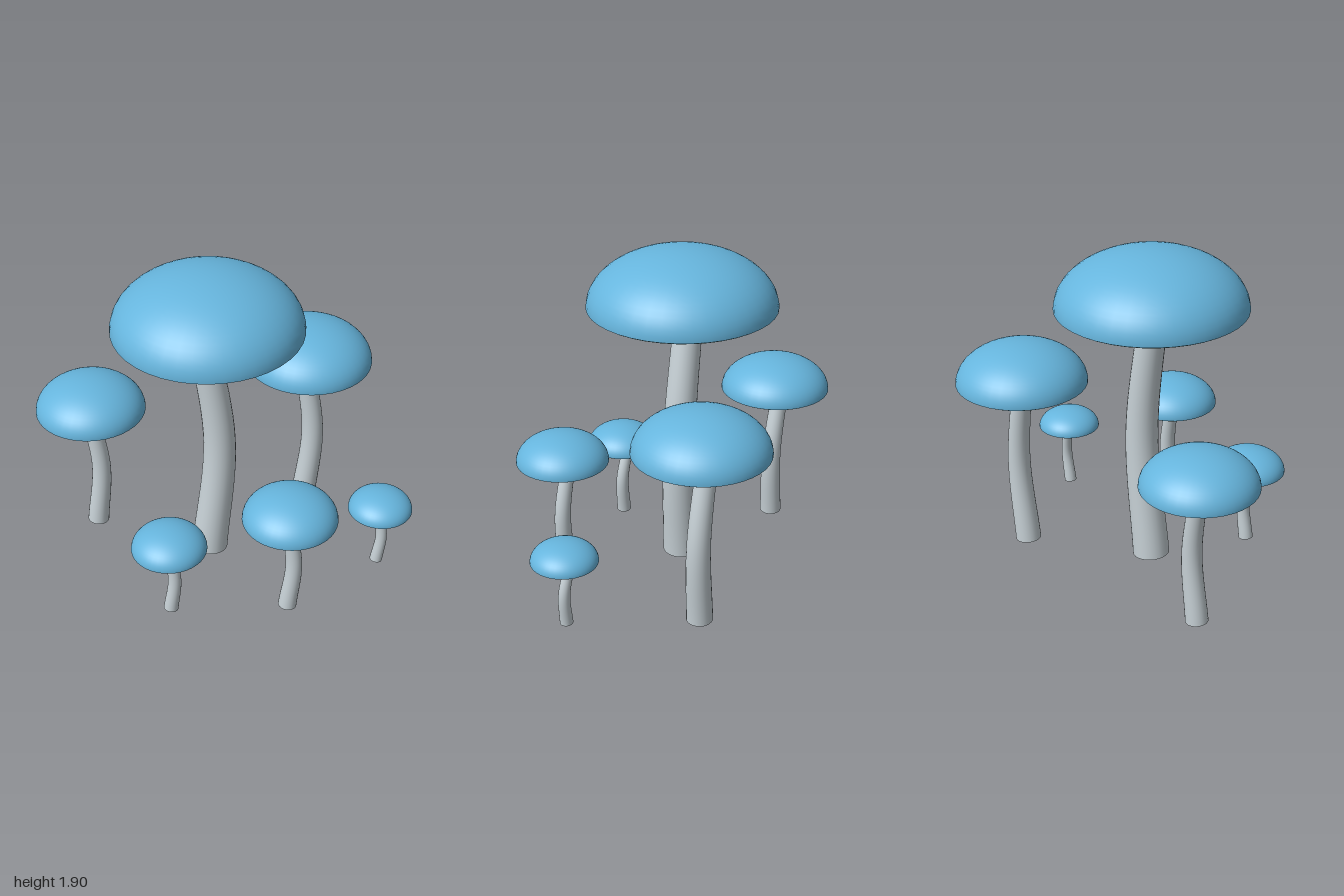
import * as THREE from 'three';

const make = (name, color) => {
  const m = new THREE.MeshStandardMaterial({ color });
  m.name = name;
  return m;
};

// x, z and radius of the cap, then heights of its rim and its top
const MUSHROOMS = [
  ['tallMushroom', -0.096, -0.073, 0.537, 1.563, 1.896],
  ['rightMushroom', 0.614, -0.331, 0.377, 1.042, 1.28],
  ['leftMushroom', -0.678, -0.525, 0.323, 0.85, 1.052],
  ['frontMushroom', 0.162, 0.573, 0.268, 0.655, 0.825],
  ['smallLeftMushroom', -0.483, 0.38, 0.214, 0.463, 0.598],
  ['smallRightMushroom', 0.808, 0.38, 0.188, 0.399, 0.515],
];

// Tapered cylinder bent along a curve, rings kept square to the path
function bentStem(curve, topRadius, baseRadius) {
  const geometry = new THREE.CylinderGeometry(topRadius, baseRadius, 1, 24, 20);
  const pos = geometry.attributes.position;
  const nor = geometry.attributes.normal;
  const basis = new THREE.Matrix4();
  const v = new THREE.Vector3();
  const n = new THREE.Vector3();
  for (let i = 0; i < pos.count; i++) {
    v.fromBufferAttribute(pos, i);
    n.fromBufferAttribute(nor, i);
    const t = THREE.MathUtils.clamp(v.y + 0.5, 0, 1);
    const up = curve.getTangent(t);
    const out = new THREE.Vector3().crossVectors(new THREE.Vector3(1, 0, 0), up).normalize();
    const side = new THREE.Vector3().crossVectors(up, out);
    basis.makeBasis(side, up, out);
    v.y = 0;
    v.applyMatrix4(basis).add(curve.getPoint(t));
    n.applyMatrix4(basis).normalize();
    pos.setXYZ(i, v.x, v.y, v.z);
    nor.setXYZ(i, n.x, n.y, n.z);
  }
  return geometry;
}

export function createModel() {
  const capBlue = make('cap blue', 0x66b5dd);
  const stemGrey = make('stem grey', 0xc6d0d5);
  const gillTeal = make('gill teal', 0x86c4b6);
  gillTeal.side = THREE.DoubleSide;

  const model = new THREE.Group();
  model.name = 'mushroomCluster';

  for (const [name, x, z, R, rim, top] of MUSHROOMS) {
    const mushroom = new THREE.Group();
    mushroom.name = name;
    mushroom.position.set(x, 0, z);
    const add = (part, geometry, material, y = 0) => {
      const mesh = new THREE.Mesh(geometry, material);
      mesh.name = part;
      mesh.position.y = y;
      mushroom.add(mesh);
    };

    // Domed cap
    const lip = 0.015 * R;
    const dome = new THREE.SphereGeometry(R, 40, 16, 0, Math.PI * 2, 0, Math.PI / 2);
    dome.scale(1, (top - rim - lip) / R, 1);
    add('cap', dome, capBlue, rim + lip);

    // Narrow edge and shallow dish under the cap
    const edge = [[R, lip], [0.975 * R, 0]];
    const dish = [[0.975 * R, 0], [0.5 * R, 0.035 * R], [0, 0.06 * R]];
    const lathe = (pts) => new THREE.LatheGeometry(pts.map(([a, b]) => new THREE.Vector2(a, b)).reverse(), 40);
    add('gillEdge', lathe(edge), gillTeal, rim);
    add('gills', lathe(dish), gillTeal, rim);

    // Stem bowed to the model's left, leaning back at the top
    const base = 0.018 * R;
    const curve = new THREE.CatmullRomCurve3([
      new THREE.Vector3(0, base, 0),
      new THREE.Vector3(0.12 * R, rim * 0.5, 0),
      new THREE.Vector3(-0.07 * R, rim + 0.05 * R, -0.035),
    ]);
    add('stem', bentStem(curve, 0.15 * R, 0.2 * R), stemGrey);

    model.add(mushroom);
  }
  return model;
}
